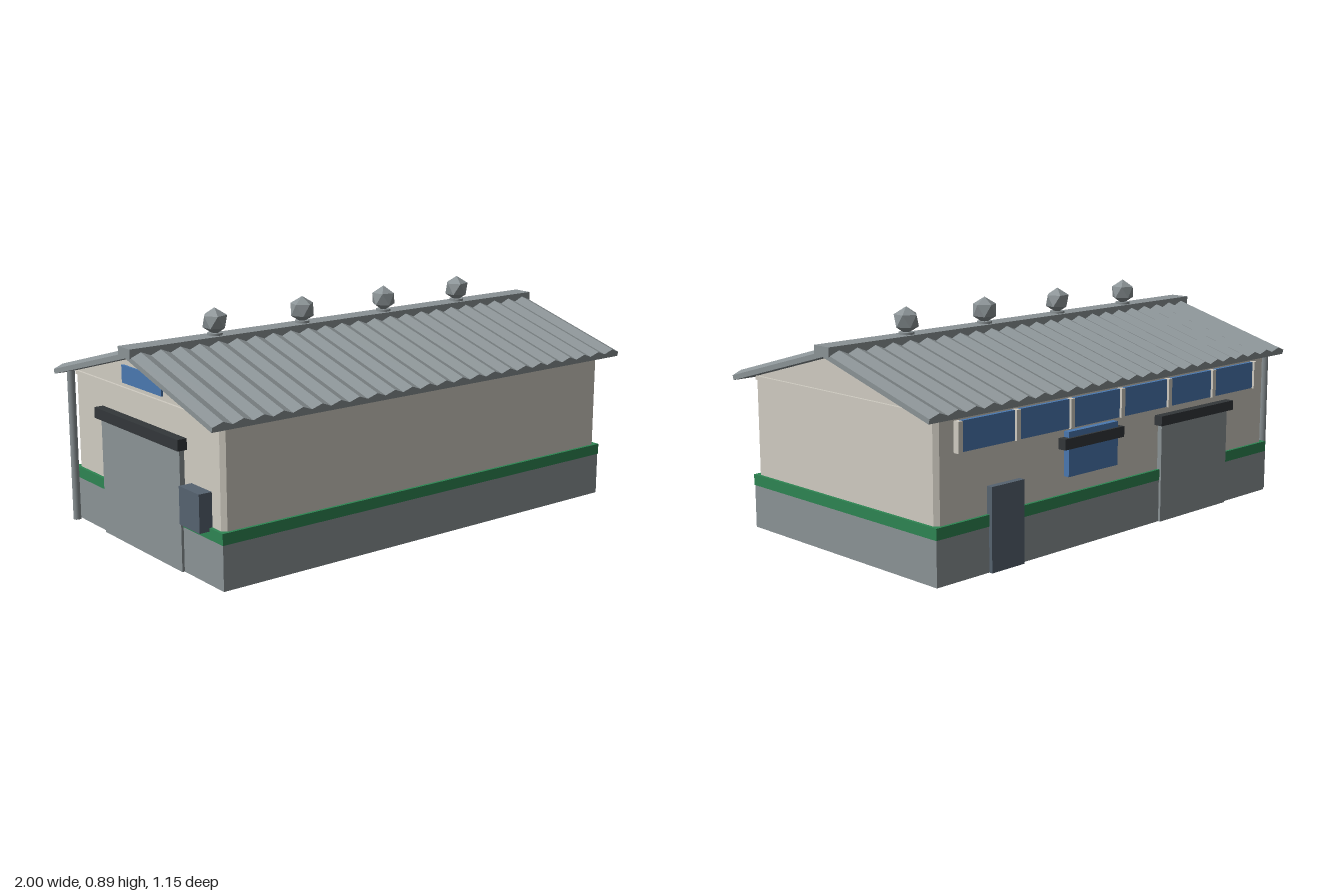
import * as THREE from 'three';

const paint = (name, hex) => {
  const m = new THREE.MeshStandardMaterial({ color: hex });
  m.name = name;
  return m;
};

export function createModel() {
  const model = new THREE.Group();
  model.name = 'warehouse';
  const grey = paint('metalGrey', 0x8b9396);
  const beige = paint('wallBeige', 0xd0ccc2);
  const green = paint('stripeGreen', 0x2e8553);
  const blue = paint('windowBlue', 0x4a78b0);
  const slate = paint('doorSlate', 0x566370);
  const black = paint('awningBlack', 0x33373a);

  const add = (name, geometry, material, parent = model) => {
    const mesh = new THREE.Mesh(geometry, material);
    mesh.name = name;
    parent.add(mesh);
    return mesh;
  };
  // Box given by its lowest and highest coordinates
  const box = (name, material, x0, x1, y0, y1, z0, z1) => {
    const mesh = add(name, new THREE.BoxGeometry(x1 - x0, y1 - y0, z1 - z0), material);
    mesh.position.set((x0 + x1) / 2, (y0 + y1) / 2, (z0 + z1) / 2);
    return mesh;
  };
  const extrude = (points, depth) => new THREE.ExtrudeGeometry(
    new THREE.Shape(points.map(([x, y]) => new THREE.Vector2(x, y))),
    { depth, bevelEnabled: false });

  // Plinth and stripe
  box('plinth', grey, -0.937, 0.937, 0.001, 0.17, -0.53, 0.53);
  box('stripe', green, -0.939, 0.939, 0.17, 0.213, -0.532, 0.532);

  // Walls with chamfered corners, down to the floor
  const X = 0.927, Z = 0.52, C = 0.016;
  const walls = extrude([
    [-X + C, -Z], [X - C, -Z], [X, -Z + C], [X, Z - C],
    [X - C, Z], [-X + C, Z], [-X, Z - C], [-X, -Z + C]], 0.59);
  walls.rotateX(-Math.PI / 2);
  add('walls', walls, beige);

  // Gables and the thin ledge below them
  box('gableLedge', beige, -0.935, 0.935, 0.59, 0.605, -0.505, 0.505);
  const gable = extrude([[-0.505, 0.604], [0.505, 0.604], [0, 0.745]], 1.85);
  gable.translate(0, 0, -0.925);
  gable.rotateY(Math.PI / 2);
  add('gables', gable, beige);

  // Corrugated roof slopes: zigzag top, flat underside
  const ribs = 24, halfLength = 0.995;
  const profile = [[-halfLength, 0], [halfLength, 0]];
  for (let i = ribs * 2; i >= 0; i--) {
    profile.push([-halfLength + (i / (ribs * 2)) * 2 * halfLength, i % 2 ? 0.035 : 0.019]);
  }
  const slope = extrude(profile, 0.585);
  slope.rotateX(Math.atan(0.279));
  slope.translate(0, 0.745, 0);
  add('frontRoof', slope, grey);
  add('backRoof', slope, grey).rotation.y = Math.PI;
  box('ridgeCap', grey, -1, 1, 0.75, 0.785, -0.042, 0.042);

  // Faceted ridge vents
  [-0.61, -0.205, 0.205, 0.605].forEach((x, i) => {
    const vent = new THREE.Group();
    vent.name = 'roofVent' + (i + 1);
    vent.position.x = x;
    model.add(vent);
    add('ventNeck', new THREE.CylinderGeometry(0.03, 0.03, 0.02, 10), grey, vent).position.y = 0.784;
    const ball = new THREE.IcosahedronGeometry(0.052);
    ball.rotateZ(Math.atan(2 / (1 + Math.sqrt(5))));
    const head = add('ventHead', ball, grey, vent);
    head.position.y = 0.837;
    head.rotation.y = i * 0.4;
  });

  // Back wall: high window strip with mullions
  box('windowStrip', blue, -0.835, 0.835, 0.46, 0.57, -0.535, -0.515);
  for (let i = 0; i <= 6; i++) {
    const x = -0.835 + i * 1.67 / 6;
    box('mullion', beige, x - 0.01, x + 0.01, 0.459, 0.571, -0.545, -0.515);
  }

  // Back wall: side door, serving window, roller door and awnings
  box('sideDoor', slate, 0.53, 0.69, 0.001, 0.315, -0.545, -0.515);
  box('servingWindow', blue, 0.03, 0.3, 0.28, 0.45, -0.545, -0.515);
  box('servingAwning', black, 0.005, 0.33, 0.387, 0.428, -0.555, -0.515);
  box('backRollerDoor', grey, -0.65, -0.235, 0.001, 0.395, -0.54, -0.515);
  box('backAwning', black, -0.67, -0.215, 0.393, 0.432, -0.556, -0.515);

  // Right gable end: roller door, awning, gable window, cabinet, downpipe
  box('endRollerDoor', grey, -0.947, -0.92, 0.001, 0.46, -0.285, 0.275);
  box('endAwning', black, -0.965, -0.92, 0.458, 0.5, -0.305, 0.295);
  box('gableWindow', blue, -0.934, -0.92, 0.622, 0.69, -0.14, 0.14);
  box('cabinet', slate, -0.98, -0.92, 0.2, 0.342, 0.32, 0.45);
  const pipe = add('downpipe', new THREE.CylinderGeometry(0.016, 0.016, 0.609, 8), grey);
  pipe.position.set(-0.957, 0.3055, -0.5);

  return model;
}
